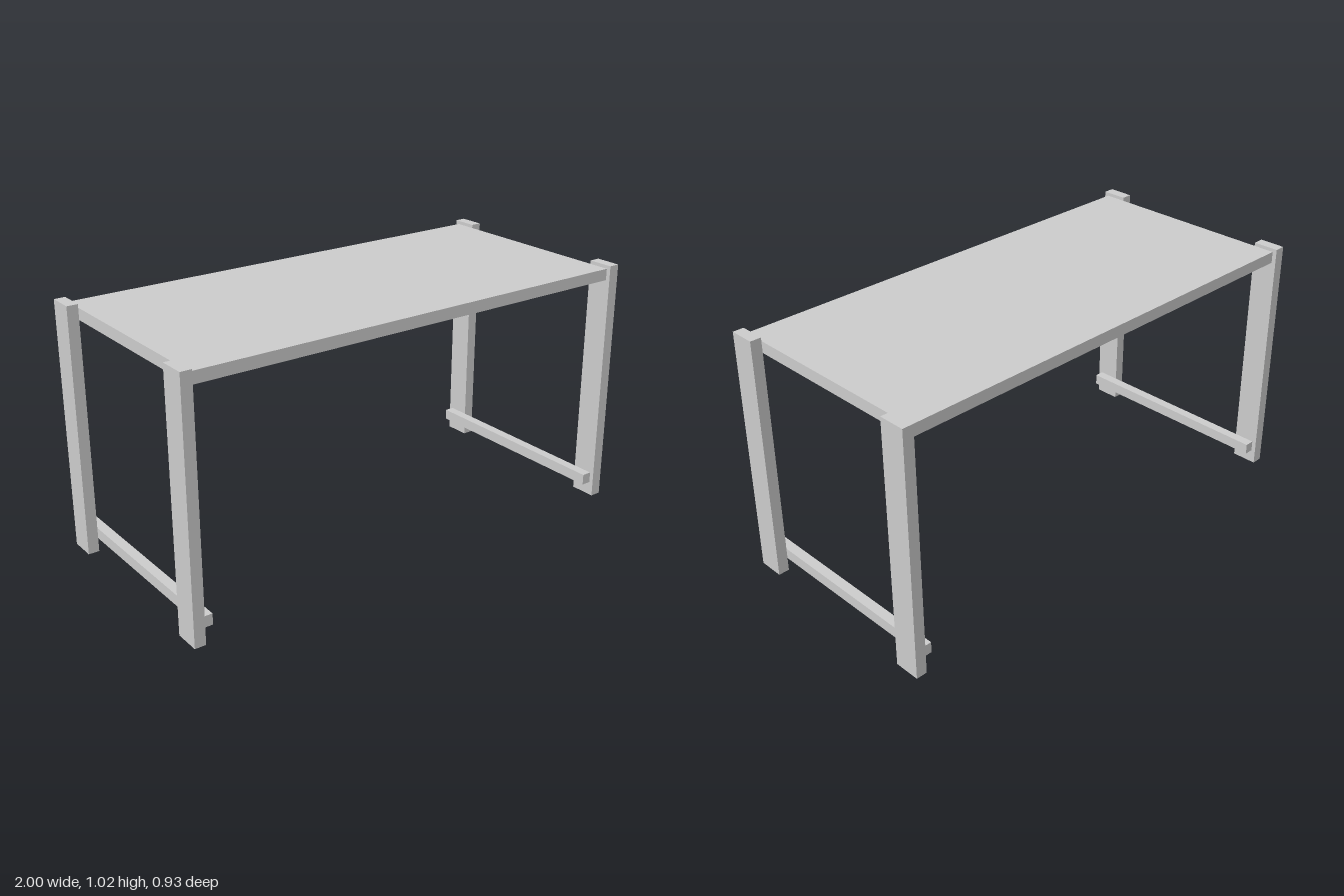
import * as THREE from 'three';

const material = new THREE.MeshStandardMaterial({ color: 0xcccccc });

// Box given by its min and max corners
function box(name, [x0, y0, z0], [x1, y1, z1]) {
  const mesh = new THREE.Mesh(new THREE.BoxGeometry(x1 - x0, y1 - y0, z1 - z0), material);
  mesh.position.set((x0 + x1) / 2, (y0 + y1) / 2, (z0 + z1) / 2);
  mesh.name = name;
  return mesh;
}

export function createModel() {
  const table = new THREE.Group();
  table.name = 'table';

  const inner = 0.955; // inner face of the legs
  const halfDepth = 0.445; // tabletop and rails sit just inside the leg edges

  // Tabletop slab held between the legs
  table.add(box('tabletop', [-inner, 0.956, -halfDepth], [inner, 1.003, halfDepth]));

  for (const [sx, side] of [[1, 'left'], [-1, 'right']]) {
    // Flat posts rising slightly above the tabletop
    for (const [sz, end] of [[1, 'Front'], [-1, 'Back']]) {
      const leg = box(`${side}${end}Leg`, [inner, 0, 0.356], [1, 1.017, 0.463]);
      leg.position.x *= sx;
      leg.position.z *= sz;
      table.add(leg);
    }
    // Low rail fixed to the inside of each leg pair
    const rail = box(`${side}Rail`, [0.914, 0.057, -halfDepth], [inner, 0.102, halfDepth]);
    rail.position.x *= sx;
    table.add(rail);
  }
  return table;
}
